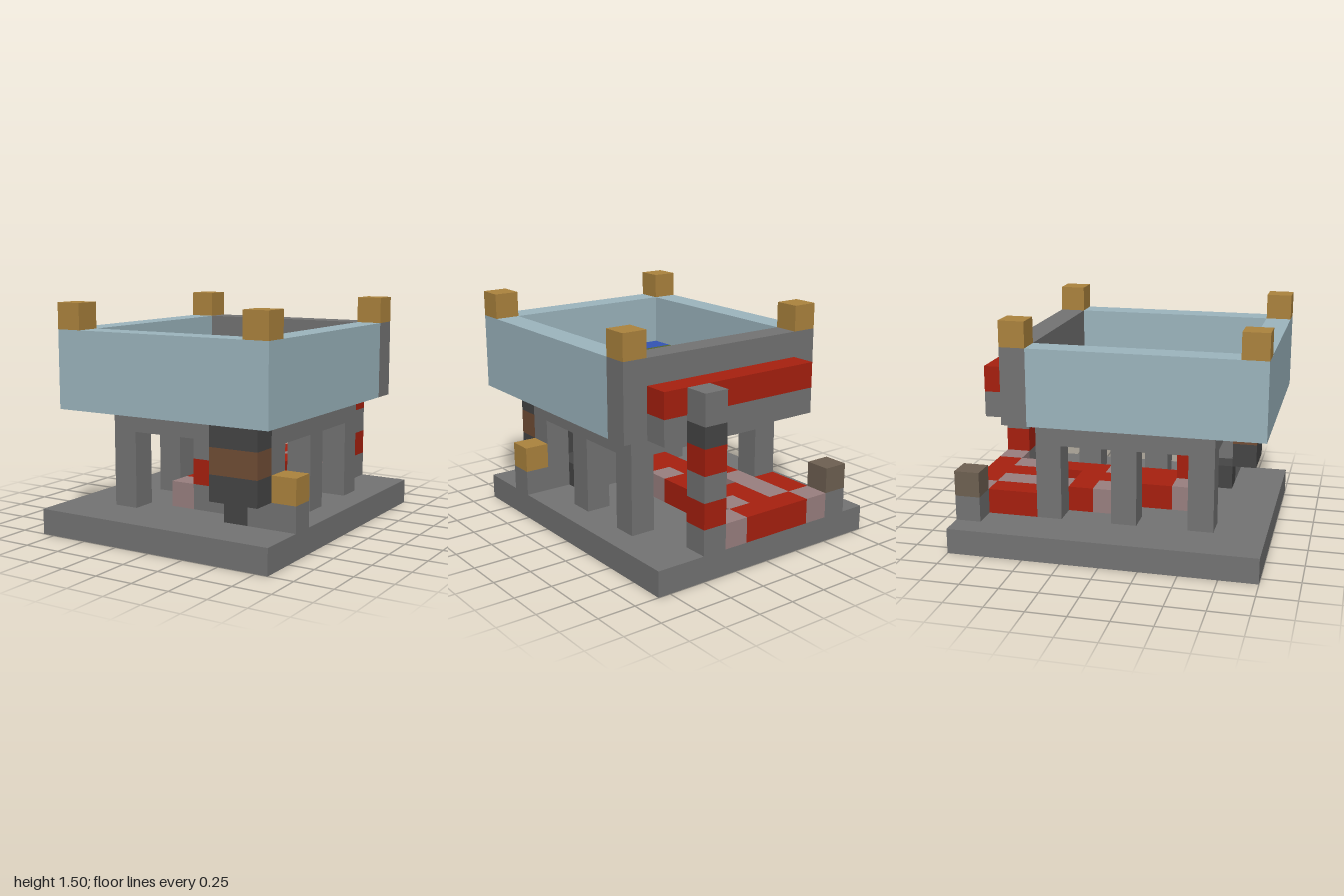
import * as THREE from 'three';

const U = 1 / 6; // edge of one block

const COLORS = {
  stone: 0x747474, gold: 0xad843e, red: 0xa8200f, green: 0x546632, blue: 0x3355b5,
  glass: 0x9db6bf, pink: 0x9a8080, charcoal: 0x464646, wood: 0x724e36, taupe: 0x6f6152,
};

export function createModel() {
  const root = new THREE.Group();
  root.name = 'blockPavilion';
  const mats = {};
  for (const [name, color] of Object.entries(COLORS)) {
    mats[name] = new THREE.MeshStandardMaterial({ color });
    mats[name].name = name;
  }

  // Box starting at block (i, j, k), spanning w x h x d blocks
  function block(name, mat, i, j, k, w = 1, h = 1, d = 1) {
    const mesh = new THREE.Mesh(new THREE.BoxGeometry(w * U, h * U, d * U), mats[mat]);
    mesh.position.set((i + w / 2 - 5) * U, (j + h / 2) * U, (k + d / 2 - 6) * U);
    mesh.name = name;
    root.add(mesh);
  }

  // Ground slab and the columns carrying the platform
  block('base', 'stone', 0, 0, 0, 10, 1, 12);
  for (const i of [2, 8]) for (const k of [3, 6, 9]) block('column', 'stone', i, 1, k, 1, 3, 1);
  block('platform', 'stone', 2, 4, 3, 7, 1, 7);

  // Open basin: floor, glass walls, stone back wall
  block('basinFloor', 'green', 2, 5, 3, 7, 1, 7);
  block('basinFrontFloor', 'blue', 2, 5, 10, 7, 1, 1);
  block('backWall', 'stone', 1, 5, 2, 9, 3, 1);
  block('frontWall', 'glass', 1, 5, 11, 9, 3, 1);
  for (const i of [1, 9]) {
    block('sideWall', 'glass', i, 5, 3, 1, 3, 8);
    for (const k of [2, 11]) block('cornerCap', 'gold', i, 8, k);
  }

  // Beam along the back wall
  block('beamSupport', 'stone', 2, 5, 1, 7, 1, 1);
  block('beam', 'red', 2, 6, 1, 7, 1, 1);

  // Striped pillar at the back
  ['stone', 'red', 'stone', 'red'].forEach((m, n) => block('pillarBand', m, 7, n + 1, 0));
  block('pillarCollar', 'charcoal', 7, 5, 0, 1, 0.8, 1);
  block('pillarTop', 'stone', 7, 5.8, 0, 1, 1.2, 1);

  // Small capped posts
  block('frontPost', 'stone', 9, 1, 9);
  block('frontPostCap', 'gold', 9, 2, 9);
  block('backPost', 'stone', 1, 1, 0);
  block('backPostCap', 'taupe', 1, 2, 0);

  // Hanging stack under the front wall, with its foot
  ['charcoal', 'wood', 'charcoal'].forEach((m, n) => block('stackBand', m, 7, n + 2, 10, 2, 1, 1));
  block('stackFoot', 'charcoal', 7, 1, 8, 1, 1, 2);

  // Inner wall with one red block
  block('innerWallBottom', 'stone', 5, 1, 8, 2, 1, 1);
  block('innerWallRed', 'red', 5, 2, 8);
  block('innerWallMiddle', 'stone', 6, 2, 8);
  block('innerWallTop', 'stone', 5, 3, 8, 2, 1, 1);

  // Winding low path: one string per row from the back, starting at column 2
  const path = ['prrrp', 'rprp', 'rprr', ' p r', ' rrr', ' prp', '  rr', '  rr', '  p'];
  path.forEach((row, k) => [...row].forEach((c, n) => {
    if (c !== ' ') block('pathBlock', c === 'r' ? 'red' : 'pink', n + 2, 1, k);
  }));
  return root;
}
